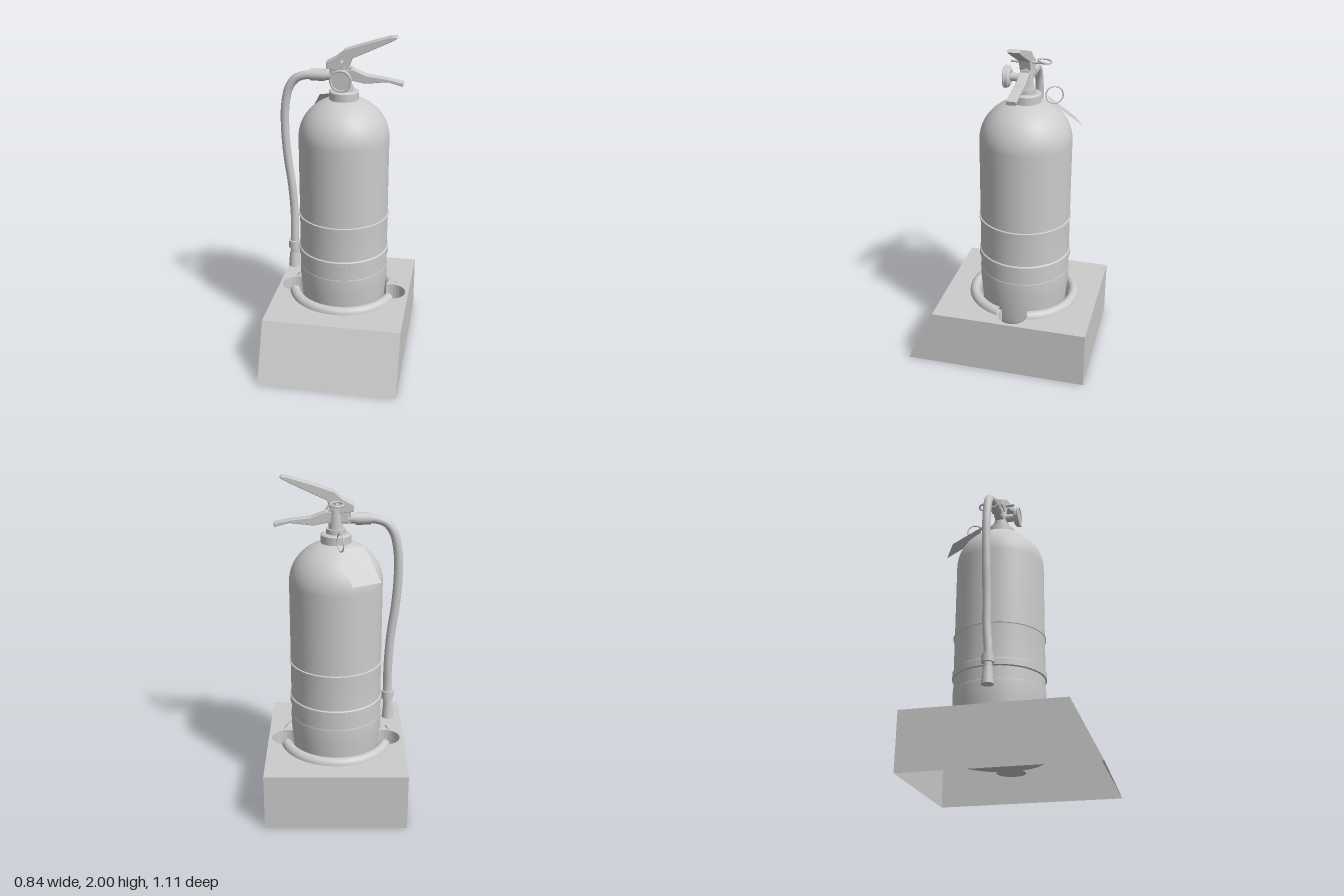
import * as THREE from 'three';

const V2 = (x, y) => new THREE.Vector2(x, y);
const V3 = (x, y, z) => new THREE.Vector3(x, y, z);

export function createModel() {
  const model = new THREE.Group();
  const grey = new THREE.MeshStandardMaterial({ color: 0xcccccc, side: THREE.DoubleSide });
  grey.name = 'light grey';
  const CZ = -0.09; // axis of the cylinder

  const add = (name, geometry, x = 0, y = 0, z = 0) => {
    const mesh = new THREE.Mesh(geometry, grey);
    mesh.name = name;
    mesh.position.set(x, y, z);
    model.add(mesh);
    return mesh;
  };
  const lathe = (name, pts, start = 0, length = Math.PI * 2) =>
    add(name, new THREE.LatheGeometry(pts.map(p => V2(...p)), 48, start, length), 0, 0, CZ);
  // Lathe whose profile pieces keep sharp edges between them
  const stepped = (name, pts) => {
    for (let i = 0; i < pts.length - 1; i++) lathe(name, [pts[i], pts[i + 1]]);
  };
  const tube = (name, pts, r, seg = 48, closed = false) =>
    add(name, new THREE.TubeGeometry(new THREE.CatmullRomCurve3(pts, closed), seg, r, 12, closed));
  // Flat strips of quads, each given by four corners
  const quads = (name, list) => {
    const pos = list.flatMap(([a, b, c, d]) => [a, b, c, a, c, d]).flatMap(v => v.toArray());
    const g = new THREE.BufferGeometry();
    g.setAttribute('position', new THREE.Float32BufferAttribute(pos, 3));
    g.computeVertexNormals();
    return add(name, g);
  };

  // Hollow base with a sloping front
  const H = 0.35, W = 0.42, B = -0.555, F = 0.555, FT = 0.39;
  const low = [V3(-W, 0, F), V3(W, 0, F), V3(W, 0, B), V3(-W, 0, B)];
  const high = [V3(-W, H, FT), V3(W, H, FT), V3(W, H, B), V3(-W, H, B)];
  quads('baseSides', low.map((p, i) => [p, low[(i + 1) % 4], high[(i + 1) % 4], high[i]]));

  // Pocket outline: a circle with a finger lobe on each side
  const outline = [];
  const arc = (cx, r, from, to, n) => {
    for (let i = 0; i < n; i++) {
      const a = from + (to - from) * i / n;
      outline.push(V2(cx + r * Math.cos(a), -CZ + r * Math.sin(a)));
    }
  };
  const PI = Math.PI;
  arc(0, 0.278, 0.288, PI - 0.288, 28);
  arc(-0.31, 0.09, 1.067, 2 * PI - 1.067, 16);
  arc(0, 0.278, PI + 0.288, 2 * PI - 0.288, 28);
  arc(0.31, 0.09, -2.074, 2.074, 16);

  const topShape = new THREE.Shape([V2(-W, -FT), V2(W, -FT), V2(W, -B), V2(-W, -B)]);
  topShape.holes.push(new THREE.Path(outline));
  add('baseTop', new THREE.ShapeGeometry(topShape).rotateX(-PI / 2), 0, H, 0);

  const FLOOR = 0.16;
  add('pocketFloor', new THREE.ShapeGeometry(new THREE.Shape(outline)).rotateX(-PI / 2), 0, FLOOR, 0);
  quads('pocketWall', outline.map((p, i) => {
    const q = outline[(i + 1) % outline.length];
    return [V3(q.x, FLOOR, -q.y), V3(p.x, FLOOR, -p.y), V3(p.x, H, -p.y), V3(q.x, H, -q.y)];
  }));

  // Rounded rim around the pocket, broken at the lobes
  const rim = [];
  for (let i = 0; i <= 10; i++) {
    const a = PI * i / 10;
    rim.push([0.312 + 0.033 * Math.cos(a), H + 0.036 * Math.sin(a)]);
  }
  for (const start of [-PI / 2, PI / 2]) lathe('pocketRim', rim, start + 0.28, PI - 0.56);

  // Cylinder: foot, wall and dome
  lathe('foot', [[0, 0.17], [0.21, 0.17], [0.245, 0.2], [0.258, 0.28], [0.266, 0.38], [0.273, 0.46], [0.275, 0.545], [0.272, 0.55]]);
  lathe('lowerWall', [[0.272, 0.55], [0.272, 0.67]]);
  lathe('labelBand', [[0.2725, 0.67], [0.2725, 0.888], [0.28, 0.891]]);
  lathe('labelLip', [[0.28, 0.891], [0.28, 0.897]]);
  lathe('labelLipTop', [[0.28, 0.897], [0.272, 0.9]]);
  const dome = [[0.272, 0.9], [0.272, 1.1], [0.272, 1.3]];
  for (let i = 0; i <= 14; i++) {
    const a = i / 14 * 1.25;
    dome.push([0.272 * Math.cos(a), 1.385 + 0.248 * Math.sin(a)]);
  }
  lathe('tank', dome);

  // Strap holding the hose
  stepped('strap', [[0.272, 0.625], [0.28, 0.63], [0.28, 0.67], [0.272, 0.676]]);
  add('hoseClip', new THREE.CylinderGeometry(0.037, 0.037, 0.05, 24), -0.316, 0.65, CZ + 0.01);

  // Neck and valve
  stepped('neck', [[0.088, 1.61], [0.088, 1.665], [0.078, 1.672], [0.056, 1.672], [0.056, 1.7], [0, 1.7]]);
  add('valveBody', new THREE.CylinderGeometry(0.036, 0.042, 0.13, 24), 0, 1.755, CZ);
  add('valveBlock', new THREE.BoxGeometry(0.13, 0.08, 0.05), -0.02, 1.77, CZ);
  const across = (name, r1, r2, len, x) =>
    add(name, new THREE.CylinderGeometry(r1, r2, len, 24).rotateZ(PI / 2), x, 1.755, CZ);
  across('hosePort', 0.028, 0.028, 0.12, -0.08);
  across('hoseCollar', 0.034, 0.036, 0.09, -0.155);

  // Pressure gauge on the front
  const forward = (name, r1, r2, len, z) =>
    add(name, new THREE.CylinderGeometry(r1, r2, len, 32).rotateX(PI / 2), 0, 1.755, z);
  forward('gaugeStem', 0.024, 0.024, 0.1, -0.035);
  forward('gaugeBack', 0.062, 0.045, 0.012, 0.006);
  forward('gauge', 0.062, 0.062, 0.022, 0.022);
  add('gaugeBezel', new THREE.TorusGeometry(0.059, 0.007, 10, 32), 0, 1.755, 0.031);

  // Hose and nozzle
  tube('hose', [V3(-0.15, 1.755, CZ), V3(-0.22, 1.752, CZ), V3(-0.285, 1.73, CZ), V3(-0.33, 1.67, CZ),
    V3(-0.355, 1.56, CZ), V3(-0.36, 1.42, CZ), V3(-0.35, 1.25, CZ), V3(-0.325, 1.04, CZ),
    V3(-0.314, 0.85, CZ), V3(-0.314, 0.7, CZ + 0.01), V3(-0.317, 0.57, CZ + 0.01)], 0.026, 80);
  add('nozzle', new THREE.CylinderGeometry(0.027, 0.036, 0.1, 24), -0.32, 0.545, CZ + 0.01);

  // Squeeze levers, extruded from their side outlines
  const lever = (name, pts, width) => add(name, new THREE.ExtrudeGeometry(
    new THREE.Shape(pts.map(p => V2(...p))),
    { depth: width - 0.012, bevelThickness: 0.006, bevelSize: 0.004, bevelOffset: -0.004, bevelSegments: 2 }),
    0, 0, CZ - width / 2 + 0.006);
  lever('upperLever', [[-0.1, 1.8], [-0.03, 1.79], [0.03, 1.81], [0.05, 1.865], [0.16, 1.915], [0.265, 1.965],
    [0.312, 1.99], [0.3, 2], [0.27, 1.997], [0.13, 1.955], [0.01, 1.915], [-0.04, 1.872], [-0.1, 1.84]], 0.066);
  lever('lowerLever', [[-0.07, 1.735], [0.05, 1.735], [0.13, 1.72], [0.19, 1.727], [0.26, 1.735], [0.345, 1.712],
    [0.352, 1.735], [0.25, 1.755], [0.14, 1.768], [0.06, 1.8], [-0.07, 1.8]], 0.056);

  // Safety pin with pull ring
  add('pin', new THREE.CylinderGeometry(0.008, 0.008, 0.2, 12).rotateX(PI / 2), -0.005, 1.848, -0.1);
  add('pullRing', new THREE.TorusGeometry(0.037, 0.006, 8, 32).rotateX(PI / 2 - 0.15), -0.005, 1.86, -0.195);

  // Inspection tag hanging from a wire loop
  const loop = add('tagLoop', new THREE.TorusGeometry(0.05, 0.004, 8, 32), -0.025, 1.66, -0.25);
  loop.rotation.y = PI / 2 + 0.35;
  quads('tag', [[V3(-0.01, 1.615, -0.24), V3(-0.09, 1.457, -0.415), V3(-0.25, 1.457, -0.33), V3(-0.16, 1.615, -0.165)]]);

  return model;
}
